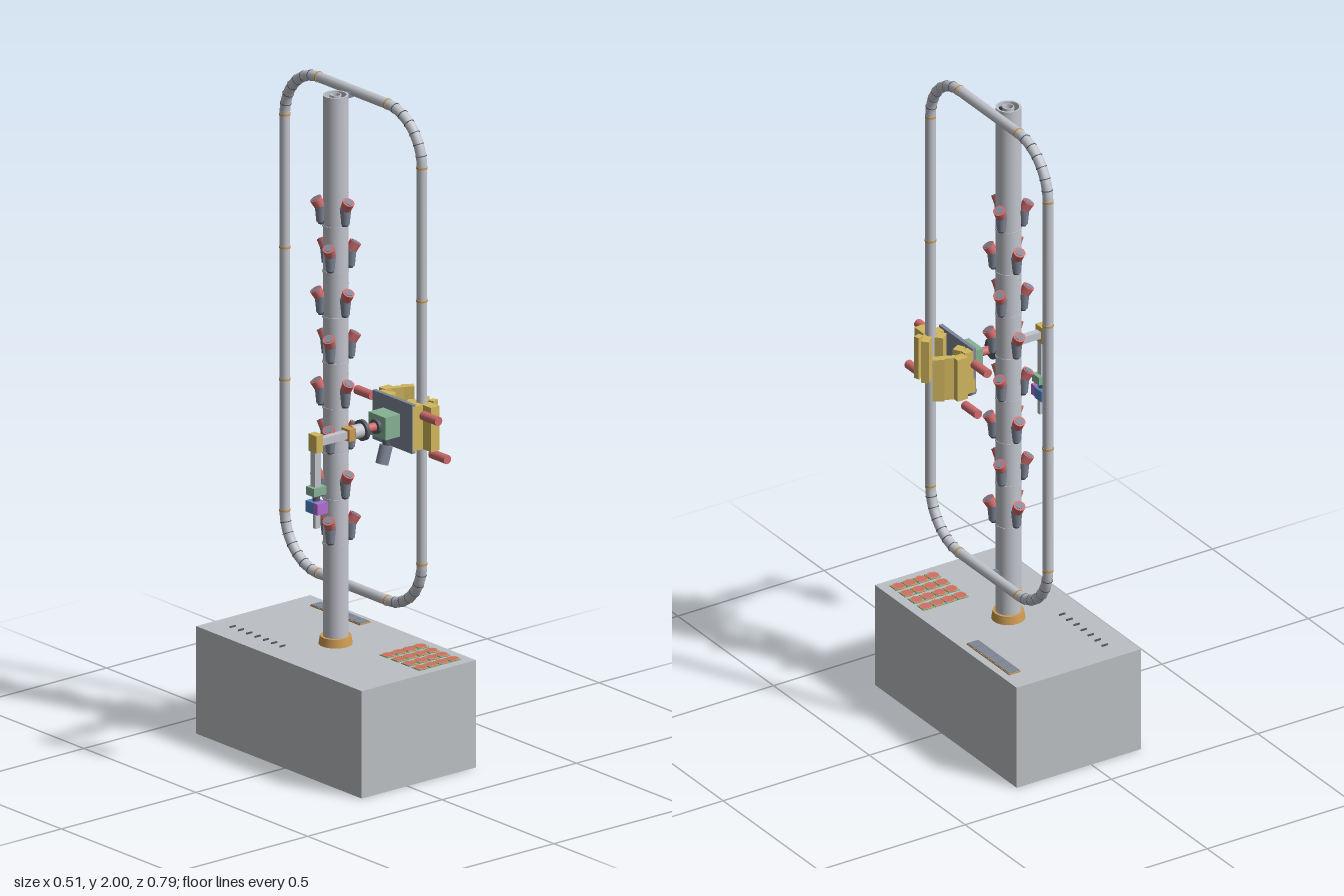
import * as THREE from 'three';

const mat = (name, color, opts = {}) => {
  const m = new THREE.MeshStandardMaterial({ color, ...opts });
  m.name = name;
  return m;
};

export function createModel() {
  const M = {
    base: mat('base grey', 0xbcc0c4),
    metal: mat('light metal', 0xc2c5cc),
    slate: mat('slate', 0x7f8797),
    dark: mat('dark grey', 0x565a63),
    red: mat('red', 0xd06c6c),
    orange: mat('orange', 0xcf9c52),
    yellow: mat('yellow', 0xd2b75e),
    green: mat('green', 0x86b394),
    purple: mat('purple', 0xb070d0),
    blue: mat('blue', 0x5585c8),
  };
  const root = new THREE.Group();
  const group = (name, parent = root) => {
    const g = new THREE.Group();
    g.name = name;
    parent.add(g);
    return g;
  };
  const add = (parent, name, geo, material, x = 0, y = 0, z = 0) => {
    const m = new THREE.Mesh(geo, material);
    m.name = name;
    m.position.set(x, y, z);
    parent.add(m);
    return m;
  };
  const box = (p, name, material, w, h, d, x, y, z, ry = 0) => {
    const m = add(p, name, new THREE.BoxGeometry(w, h, d), material, x, y, z);
    m.rotation.y = ry;
    return m;
  };
  // cylinder along the chosen axis
  const cyl = (p, name, material, r, len, x, y, z, axis = 'y', rTop = r, seg = 24) => {
    const g = new THREE.CylinderGeometry(rTop, r, len, seg);
    if (axis === 'x') g.rotateZ(Math.PI / 2);
    if (axis === 'z') g.rotateX(Math.PI / 2);
    return add(p, name, g, material, x, y, z);
  };

  // Base cabinet
  const TOP = 0.325;
  box(root, 'baseCabinet', M.base, 0.425, TOP, 0.74, 0.0425, TOP / 2, -0.025);

  // Round cup rack on the base
  const rack = group('cupRack');
  for (let i = 0; i < 4; i++) for (let j = 0; j < 4; j++) {
    const x = 0.088 + i * 0.0395, z = 0.155 + j * 0.0477;
    box(rack, 'cupPlate', M.green, 0.036, 0.003, 0.036, x, TOP + 0.001, z);
    cyl(rack, 'cupDisc', M.red, 0.0165, 0.004, x, TOP + 0.002, z);
    const ring = add(rack, 'cupRing', new THREE.TorusGeometry(0.0175, 0.0018, 6, 24), M.orange, x, TOP + 0.003, z);
    ring.rotation.x = Math.PI / 2;
  }

  // Row of square trays and row of narrow slots
  const trays = group('trayRow');
  box(trays, 'trayFrame', M.orange, 0.039, 0.004, 0.222, 0.2125, TOP + 0.002, -0.21);
  for (let i = 0; i < 6; i++) box(trays, 'tray', M.slate, 0.036, 0.006, 0.033, 0.2125, TOP + 0.003, -0.302 + i * 0.0368);
  const slots = group('slotRow');
  for (let i = 0; i < 7; i++) box(slots, 'slot', M.dark, 0.02, 0.005, 0.004, -0.095, TOP + 0.002, -0.321 + i * 0.037);

  // Hollow column with inner tube and spokes
  const column = group('column');
  column.position.set(0.042, 0, -0.026);
  const tube = (name, ri, ro, y0, y1) => {
    const pts = [[ri, y0], [ro, y0], [ro, y0], [ro, y1], [ro, y1], [ri, y1], [ri, y1], [ri, y0]];
    return add(column, name, new THREE.LatheGeometry(pts.map(p => new THREE.Vector2(...p)), 32), M.metal);
  };
  tube('columnShell', 0.031, 0.037, TOP, 1.985);
  tube('columnCore', 0.0135, 0.017, TOP, 1.985);
  for (let i = 0; i < 5; i++) {
    const a = i * Math.PI * 2 / 5;
    box(column, 'columnSpoke', M.dark, 0.017, 1.64, 0.007, Math.cos(a) * 0.024, 1.155, Math.sin(a) * 0.024, -a);
  }
  cyl(column, 'columnFlange', M.orange, 0.049, 0.025, 0, TOP + 0.0125, 0, 'y', 0.045, 32);

  // Pods: three per level, turned by 60 degrees on every other level
  for (let row = 0; row < 8; row++) {
    const y = 0.69 + row * 0.1372;
    cyl(column, 'columnCollar', M.metal, 0.0385, 0.006, 0, y - 0.06, 0, 'y', 0.0385, 32);
    for (let k = 0; k < 3; k++) {
      const pod = group('pod', column);
      pod.position.y = y;
      pod.rotation.y = k * Math.PI * 2 / 3 + (row % 2 ? 0 : Math.PI / 3);
      cyl(pod, 'podBody', M.slate, 0.012, 0.05, 0, -0.022, 0.044, 'y', 0.017, 16);
      cyl(pod, 'podFoot', M.dark, 0.009, 0.01, 0, -0.048, 0.042, 'y', 0.012, 16);
      box(pod, 'podBracket', M.dark, 0.014, 0.04, 0.02, 0, -0.005, 0.036);
      const head = group('podHead', pod);
      head.position.set(0, 0.012, 0.052);
      head.rotation.x = 0.5;
      cyl(head, 'podCup', M.red, 0.016, 0.026, 0, 0, 0, 'y', 0.018, 16);
      cyl(head, 'podNeck', M.slate, 0.012, 0.012, 0, -0.018, 0, 'y', 0.016, 16);
      cyl(head, 'podLid', M.slate, 0.012, 0.002, 0, 0.0135, 0, 'y', 0.012, 16);
    }
  }

  // Rounded loop rail, standing in a plane beside the column
  const rail = group('loopRail');
  const X = 0.105, Z0 = -0.329, Z1 = 0.284, Y0 = 0.482, Y1 = 1.984, R = 0.152;
  const path = new THREE.CurvePath();
  const corners = [[Z1 - R, Y1 - R, 0], [Z0 + R, Y1 - R, 1], [Z0 + R, Y0 + R, 2], [Z1 - R, Y0 + R, 3]];
  const P = (z, y) => new THREE.Vector3(X, y, z);
  const arcAt = ([z, y, q], t) => {
    const a = (q + t) * Math.PI / 2;
    return P(z + R * Math.cos(a), y + R * Math.sin(a));
  };
  const outline = [];
  for (const c of corners) for (let i = 0; i <= 12; i++) outline.push(arcAt(c, i / 12));
  outline.forEach((p, i) => path.add(new THREE.LineCurve3(p, outline[(i + 1) % outline.length])));
  add(rail, 'railTube', new THREE.TubeGeometry(path, 400, 0.0155, 14, true), M.metal);
  for (const c of corners) for (let i = 0; i <= 7; i++) {
    const p = arcAt(c, i / 7), end = i === 0 || i === 7;
    const a = (c[2] + i / 7) * Math.PI / 2;
    const ring = cyl(rail, 'railBand', end ? M.orange : M.dark, 0.0166, end ? 0.006 : 0.0025, p.x, p.y, p.z, 'y', 0.0166, 16);
    ring.rotation.x = -a;
  }
  for (const z of [Z0, Z1]) for (const y of [1.03, 1.43]) cyl(rail, 'railJoint', M.orange, 0.0168, 0.006, X, y, z);
  for (const y of [Y0, Y1 - 0.01]) box(rail, 'railBracket', M.slate, 0.03, 0.016, 0.016, 0.088, y, -0.026);

  // Carriage clamped to the rail
  const carriage = group('carriage');
  const CY = 1.057;
  box(carriage, 'carriagePlate', M.slate, 0.012, 0.148, 0.176, 0.056, CY, 0.218);
  const clamps = [ // x, z, width, depth, turn
    [0.072, 0.293, 0.038, 0.028, 0], [0.105, 0.322, 0.032, 0.044, 0],
    [0.085, 0.262, 0.034, 0.026, 0.7], [0.128, 0.268, 0.046, 0.024, 0.75],
    [0.14, 0.292, 0.022, 0.018, 0.3], [0.07, 0.143, 0.036, 0.026, 0],
    [0.083, 0.168, 0.03, 0.026, 0.5], [0.11, 0.122, 0.036, 0.03, 0],
    [0.135, 0.138, 0.034, 0.018, -0.4], [0.166, 0.149, 0.034, 0.024, -0.55],
  ];
  for (const [x, z, w, d, ry] of clamps) box(carriage, 'clampBlock', M.yellow, w, 0.134, d, x, CY, z, ry);
  for (const z of [0.065, 0.36]) {
    cyl(carriage, 'upperMotor', M.red, 0.0135, 0.07, 0.075, 1.1, z, 'z');
    cyl(carriage, 'lowerMotor', M.red, 0.0135, 0.07, 0.108, 0.977, z, 'z');
  }

  // Arm reaching out from the carriage
  const arm = group('arm');
  const AZ = 0.217;
  box(arm, 'shoulderBlock', M.green, 0.055, 0.068, 0.075, 0.021, CY, AZ);
  cyl(arm, 'shoulderFlange', M.dark, 0.022, 0.01, -0.011, CY, AZ, 'x');
  cyl(arm, 'shoulderMotor', M.red, 0.0125, 0.045, -0.038, CY, AZ, 'x');
  cyl(arm, 'wristFlange', M.dark, 0.031, 0.011, -0.062, CY, AZ, 'x');
  cyl(arm, 'armSleeve', M.metal, 0.021, 0.034, -0.084, CY, AZ, 'x');
  box(arm, 'armCollar', M.orange, 0.024, 0.036, 0.036, -0.112, CY, AZ);
  box(arm, 'forearm', M.metal, 0.1, 0.022, 0.02, -0.173, CY, AZ);
  box(arm, 'elbow', M.yellow, 0.025, 0.052, 0.036, -0.234, CY, AZ);
  box(arm, 'dropRod', M.metal, 0.022, 0.11, 0.02, -0.234, 0.977, AZ);
  const under = cyl(arm, 'hangingMotor', M.slate, 0.019, 0.055, 0.02, 0.965, AZ, 'y');
  under.rotation.z = -0.3;
  cyl(arm, 'motorNeck', M.dark, 0.011, 0.04, 0.028, 1.005, AZ);

  // Gripper
  const gripper = group('gripper');
  box(gripper, 'gripperMount', M.green, 0.046, 0.025, 0.036, -0.233, 0.913, AZ);
  cyl(gripper, 'gripperNeck', M.dark, 0.011, 0.02, -0.233, 0.892, AZ);
  box(gripper, 'frontJaw', M.purple, 0.038, 0.034, 0.018, -0.236, 0.866, 0.241);
  box(gripper, 'rearJaw', M.blue, 0.038, 0.034, 0.036, -0.234, 0.864, 0.212);
  box(gripper, 'finger', M.metal, 0.018, 0.05, 0.011, -0.23, 0.823, AZ);

  return root;
}
